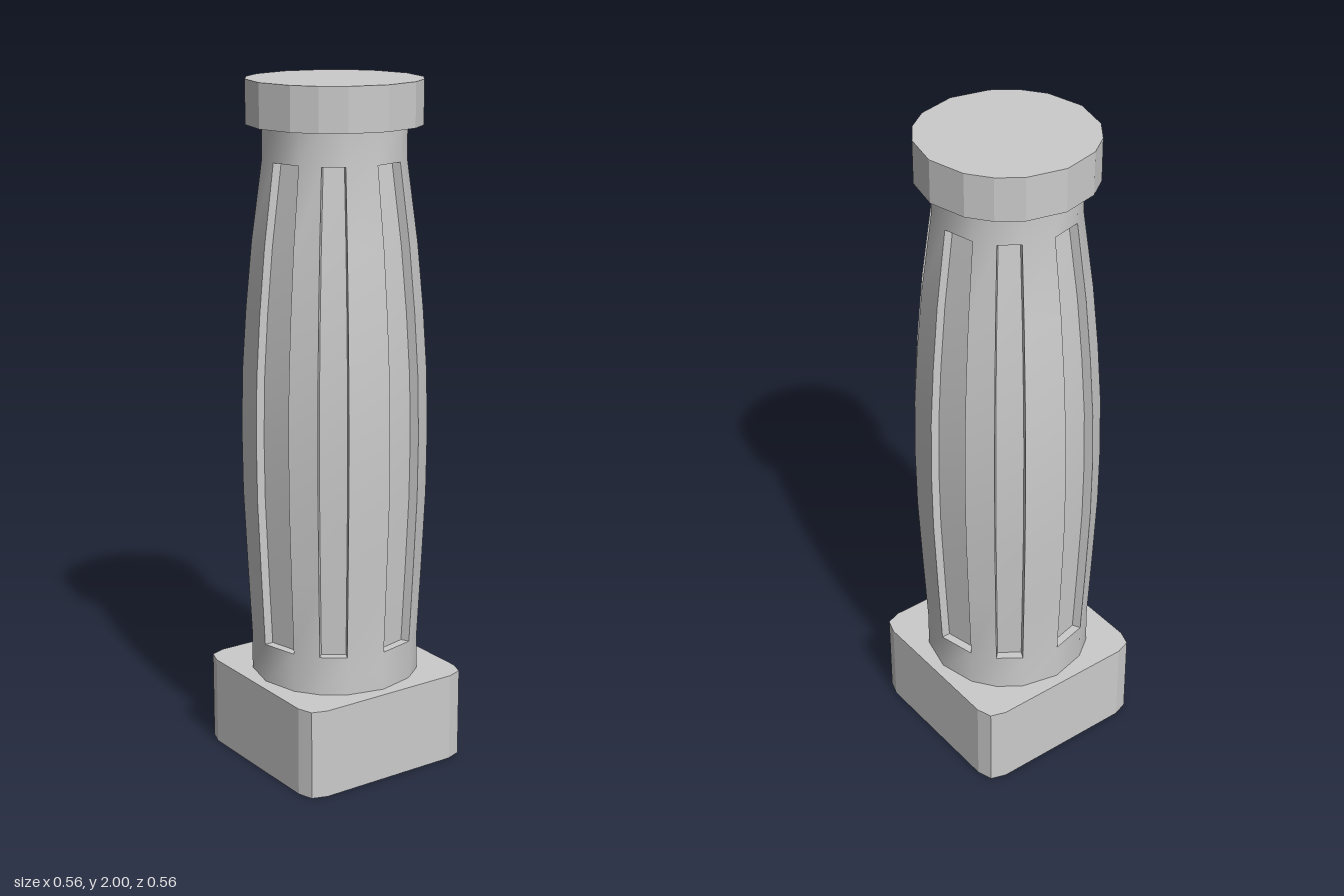
import * as THREE from 'three';
import { toCreasedNormals } from 'three/addons/utils/BufferGeometryUtils.js';

const flat = new THREE.MeshStandardMaterial({ color: 0xcccccc, flatShading: true });
const smooth = new THREE.MeshStandardMaterial({ color: 0xcccccc });

// Sixteen uneven steps around the shaft, repeating every quarter turn
const angles = [];
for (let q = 0; q < 4; q++) {
  for (const deg of [0, 26.57, 45, 63.43]) angles.push(THREE.MathUtils.degToRad(deg + q * 90));
}

// Prism standing on y0 from a list of [x, z] outline points
function prism(name, outline, y0, height) {
  const shape = new THREE.Shape(outline.map(([x, z]) => new THREE.Vector2(x, -z)));
  const geometry = new THREE.ExtrudeGeometry(shape, { depth: height, bevelEnabled: false });
  geometry.rotateX(-Math.PI / 2);
  geometry.translate(0, y0, 0);
  const mesh = new THREE.Mesh(geometry, flat);
  mesh.name = name;
  return mesh;
}

// Swelling shaft with eight sunken flutes
function flutedShaft() {
  const levels = [
    [0.26, 0.247], [0.38, 0.247], [0.6, 0.258], [0.82, 0.268], [1.0, 0.27], [1.18, 0.266],
    [1.36, 0.254], [1.55, 0.236], [1.78, 0.205], [1.88, 0.205],
  ];
  const depth = 0.026;
  const first = 1, last = levels.length - 2;
  const positions = [];
  const point = (a, j, inset) => {
    const [y, r] = levels[j];
    return [(r - inset) * Math.sin(a), y, (r - inset) * Math.cos(a)];
  };
  const quad = (a, b, c, d) => positions.push(...a, ...b, ...c, ...a, ...c, ...d);

  angles.forEach((a, i) => {
    const b = angles[(i + 1) % angles.length];
    const isFlute = i % 2 === 0;
    for (let j = 0; j < levels.length - 1; j++) {
      const sunk = isFlute && j >= first && j < last;
      const d = sunk ? depth : 0;
      quad(point(a, j, d), point(b, j, d), point(b, j + 1, d), point(a, j + 1, d));
      if (!sunk) continue;
      // Side walls of the flute
      quad(point(a, j, 0), point(a, j, d), point(a, j + 1, d), point(a, j + 1, 0));
      quad(point(b, j, d), point(b, j, 0), point(b, j + 1, 0), point(b, j + 1, d));
    }
    if (isFlute) {
      // Lower and upper ledges of the flute
      quad(point(a, first, 0), point(b, first, 0), point(b, first, depth), point(a, first, depth));
      quad(point(a, last, depth), point(b, last, depth), point(b, last, 0), point(a, last, 0));
    }
  });

  const geometry = new THREE.BufferGeometry();
  geometry.setAttribute('position', new THREE.Float32BufferAttribute(positions, 3));
  const mesh = new THREE.Mesh(toCreasedNormals(geometry, 0.55), smooth);
  mesh.name = 'flutedShaft';
  return mesh;
}

export function createModel() {
  const group = new THREE.Group();
  group.name = 'flutedPost';

  // Square base with chamfered corners
  const baseOutline = [];
  for (let q = 0; q < 4; q++) {
    for (const [x, z] of [[0.28, 0.22], [0.265, 0.265], [0.22, 0.28]]) {
      const p = new THREE.Vector2(x, z).rotateAround(new THREE.Vector2(), q * Math.PI / 2);
      baseOutline.push([p.x, p.y]);
    }
  }
  group.add(prism('base', baseOutline, 0, 0.265));

  group.add(flutedShaft());

  // Faceted cap
  const capOutline = angles.map((a) => [0.25 * Math.sin(a), 0.25 * Math.cos(a)]);
  group.add(prism('cap', capOutline, 1.875, 0.125));

  return group;
}
